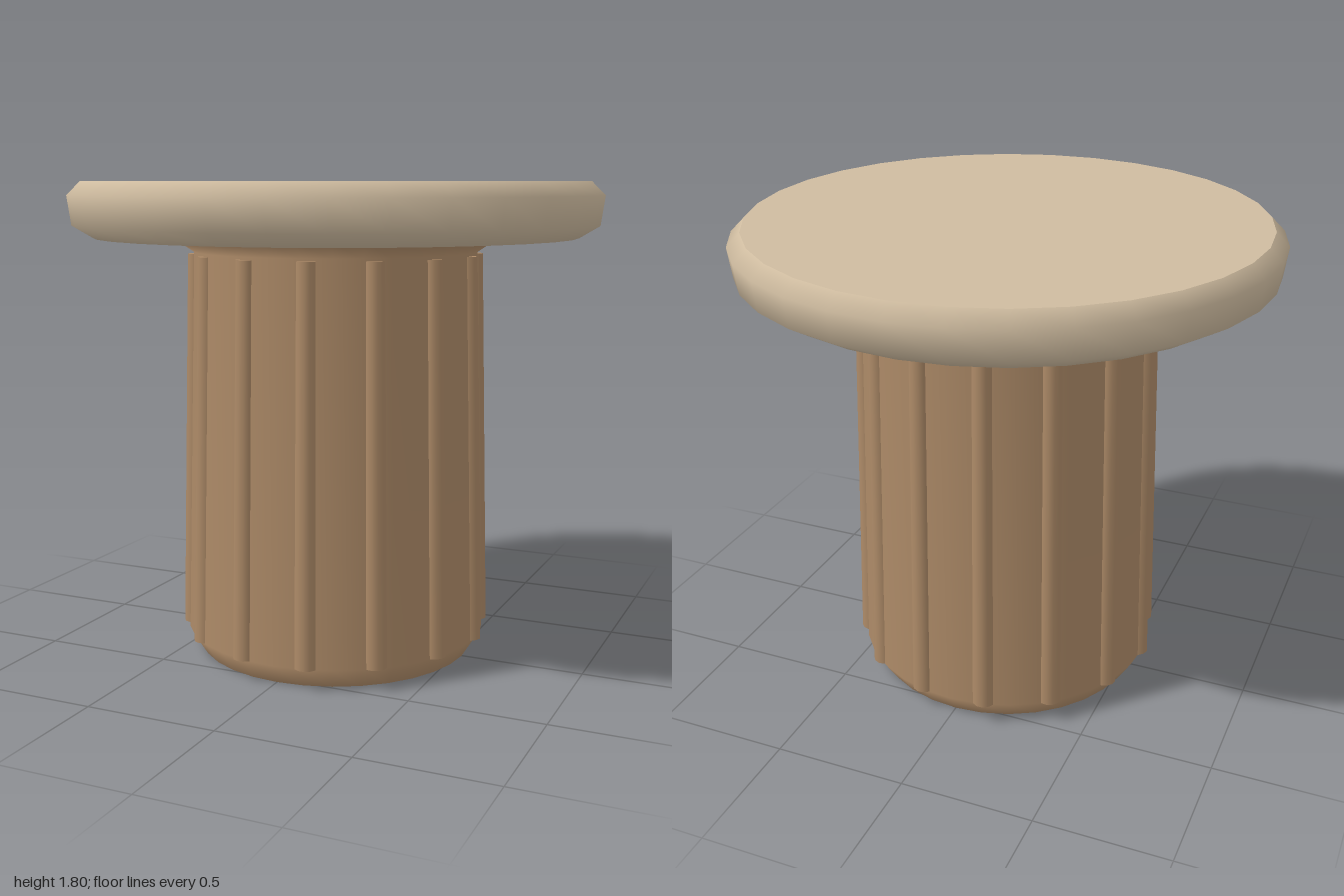
import * as THREE from 'three';

const SIDES = 32;
const RIBS = 14;

const topMaterial = new THREE.MeshStandardMaterial({ color: 0xcfbca0 });
topMaterial.name = 'pale beige';
const stemMaterial = new THREE.MeshStandardMaterial({ color: 0xae8b68 });
stemMaterial.name = 'warm brown';

function addMesh(parent, name, geometry, material) {
  const mesh = new THREE.Mesh(geometry, material);
  mesh.name = name;
  parent.add(mesh);
  return mesh;
}

// Smooth turned wall from a bottom-to-top [radius, height] profile
function turned(profile) {
  return new THREE.LatheGeometry(profile.map(([r, y]) => new THREE.Vector2(r, y)), SIDES);
}

// Flat horizontal disc facing up (1) or down (-1)
function disc(radius, y, facing) {
  return new THREE.CircleGeometry(radius, SIDES).rotateX(-facing * Math.PI / 2).translate(0, y, 0);
}

// Tapered round rib that leans with the pedestal, its ends kept level
function ribGeometry() {
  const y0 = 0.08, y1 = 1.53;
  const g = new THREE.CylinderGeometry(0.037, 0.044, y1 - y0, 12);
  g.translate(0, (y0 + y1) / 2, 0);
  const p = g.attributes.position;
  for (let i = 0; i < p.count; i++) {
    const t = (p.getY(i) - y0) / (y1 - y0);
    p.setX(i, p.getX(i) + THREE.MathUtils.lerp(0.558, 0.525, t));
  }
  return g;
}

export function createModel() {
  const model = new THREE.Group();
  model.name = 'pedestalTable';

  // Round top with a softened rim
  const top = new THREE.Group();
  top.name = 'tableTop';
  model.add(top);
  addMesh(top, 'rim', turned([[0.91, 1.595], [0.985, 1.64], [1, 1.75], [0.95, 1.8]]), topMaterial);
  addMesh(top, 'topFace', disc(0.95, 1.8, 1), topMaterial);
  addMesh(top, 'underside', disc(0.91, 1.595, -1), topMaterial);

  // Tapered pedestal, chamfered at the foot and flared under the top
  const pedestal = new THREE.Group();
  pedestal.name = 'pedestal';
  model.add(pedestal);
  addMesh(pedestal, 'column', turned([[0.53, 0], [0.58, 0.08], [0.538, 1.54], [0.62, 1.596]]), stemMaterial);
  addMesh(pedestal, 'footFace', disc(0.53, 0, -1), stemMaterial);

  // Ribs around the column
  const rib = ribGeometry();
  for (let i = 0; i < RIBS; i++) {
    addMesh(pedestal, 'rib', rib, stemMaterial).rotation.y = (i / RIBS) * Math.PI * 2;
  }
  return model;
}
